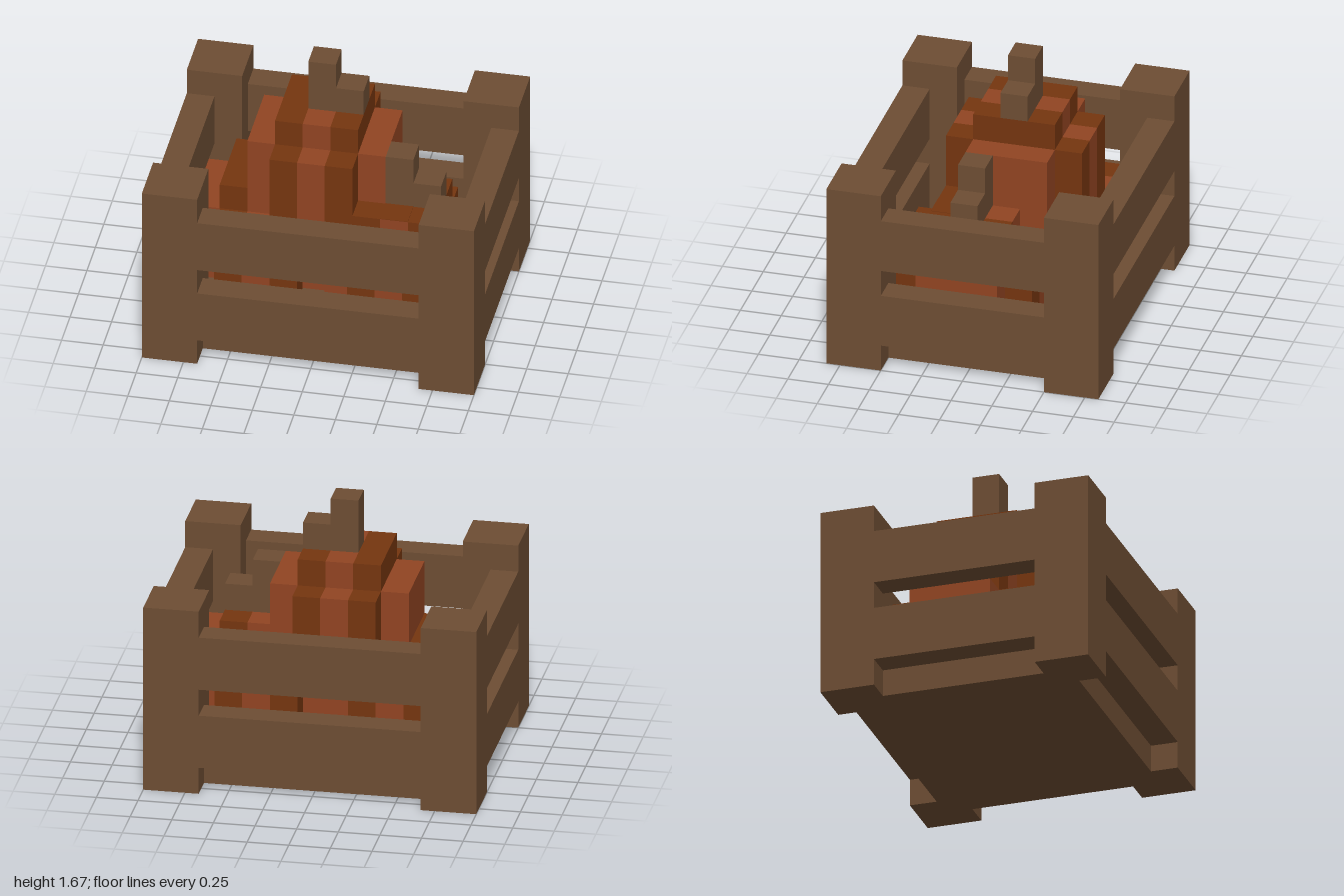
import * as THREE from 'three';

const U = 1 / 6; // the whole model sits on a grid of sixths

export function createModel() {
  const wood = new THREE.MeshStandardMaterial({ name: 'brown wood', color: 0x6d4d33 });
  const dark = new THREE.MeshStandardMaterial({ name: 'dark orange rind', color: 0x75350f });
  const light = new THREE.MeshStandardMaterial({ name: 'light orange rind', color: 0x914422 });

  // Box from min to max corner, in grid units
  function box(parent, name, mat, [x0, y0, z0], [x1, y1, z1]) {
    const geo = new THREE.BoxGeometry((x1 - x0) * U, (y1 - y0) * U, (z1 - z0) * U);
    const mesh = new THREE.Mesh(geo, mat);
    mesh.name = name;
    mesh.position.set((x0 + x1) * U / 2, (y0 + y1) * U / 2, (z0 + z1) * U / 2);
    parent.add(mesh);
  }

  const model = new THREE.Group();
  model.name = 'pumpkinCrate';

  // Crate: floor, four posts and two rails per side
  const crate = new THREE.Group();
  crate.name = 'crate';
  model.add(crate);
  box(crate, 'floor', wood, [-5, 0, -4], [5, 1, 4]);
  for (const x of [-6, 4]) {
    for (const z of [-5, 3]) box(crate, 'cornerPost', wood, [x, 0, z], [x + 2, 7, z + 2]);
  }
  for (const y of [1, 4]) {
    for (const z of [-5, 4]) box(crate, 'longRail', wood, [-4, y, z], [4, y + 2, z + 1]);
    for (const x of [-6, 5]) box(crate, 'shortRail', wood, [x, y, -3], [x + 1, y + 2, 3]);
  }

  // Pumpkin: striped bands front to back and top to bottom, plus plain side lobes
  function pumpkin(name, x, y, z, { base = false, stem = false, darkRow = false } = {}) {
    const g = new THREE.Group();
    g.name = name;
    g.position.set(x * U, y * U, z * U);
    model.add(g);
    [dark, light, dark].forEach((mat, i) => {
      const a = i - 1.5, b = i - 0.5;
      box(g, 'bodyStripe', mat, [a, 1, -2.5], [b, 4, 2.5]);
      box(g, 'capStripe', mat, [a, 4, -1.5], [b, 5, 1.5]);
      if (base) box(g, 'baseStripe', mat, [a, 0, -1.5], [b, 1, 1.5]);
    });
    box(g, 'rightLobe', light, [-2.5, 1, -1.5], [-1.5, 4, 1.5]);
    box(g, 'leftLobe', light, [1.5, 1, -1.5], [2.5, 4, 1.5]);
    if (darkRow) box(g, 'capPatch', dark, [-0.5, 5, 0.5], [0.5, 5.02, 1.5]);
    if (stem) {
      box(g, 'stem', wood, [-0.5, 5, -0.5], [0.5, 7, 0.5]);
      box(g, 'stemSide', wood, [0.5, 5, -0.5], [1.5, 6, 0.5]);
    }
  }
  pumpkin('topPumpkin', -0.5, 3, -0.5, { base: true, stem: true });
  pumpkin('leftPumpkin', 2.5, 0, 0.5, { stem: true, darkRow: true });
  pumpkin('rightPumpkin', -2.5, 0, -0.5);

  return model;
}
